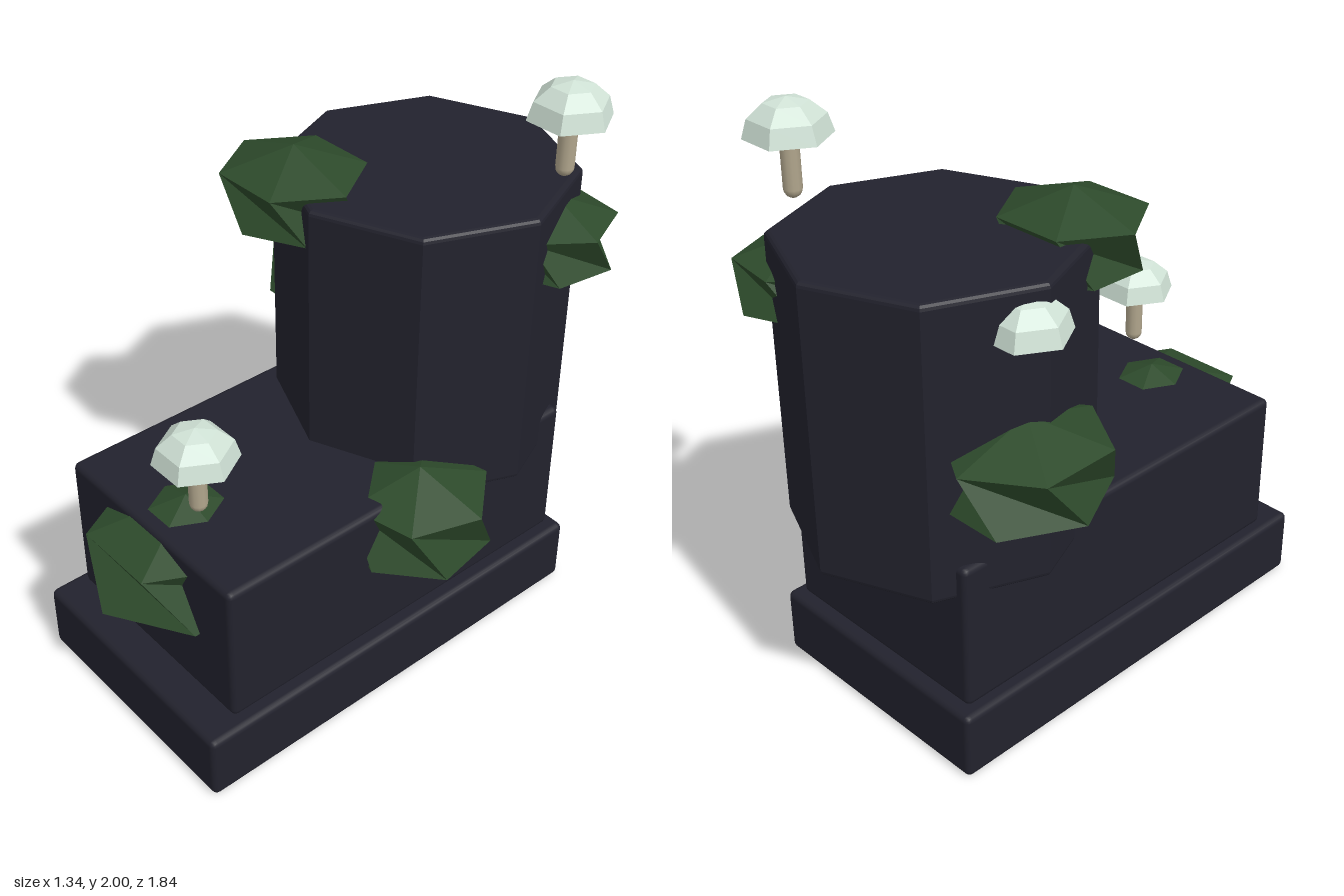
import * as THREE from 'three';
import { RoundedBoxGeometry } from 'three/addons/geometries/RoundedBoxGeometry.js';

const material = (name, color, extra = {}) => {
  const m = new THREE.MeshStandardMaterial({ color, ...extra });
  m.name = name;
  return m;
};

const flat = (geometry) => {
  const g = geometry.index ? geometry.toNonIndexed() : geometry;
  g.computeVertexNormals();
  return g;
};

// Twisted six-sided lump: two poles and two rings, the lower ring turned
function mossGeometry(radiusX, radiusZ, height, phase, lowerScale) {
  const ring = (y, turn, s) => Array.from({ length: 6 }, (_, i) => {
    const a = i * Math.PI / 3 + turn;
    return [Math.cos(a) * radiusX * s, y, Math.sin(a) * radiusZ * s];
  });
  const upper = ring(height * 0.25, phase, 1);
  const lower = ring(-height * 0.25, phase - 0.5, lowerScale);
  const top = [0, height / 2, 0], bottom = [0, -height / 2, 0];
  const points = [];
  for (let i = 0; i < 6; i++) {
    const j = (i + 1) % 6;
    points.push(top, upper[j], upper[i]);
    points.push(upper[j], lower[j], lower[i], upper[j], lower[i], upper[i]);
    points.push(bottom, lower[i], lower[j]);
  }
  const g = new THREE.BufferGeometry();
  g.setAttribute('position', new THREE.Float32BufferAttribute(points.flat(), 3));
  return flat(g);
}

export function createModel() {
  const model = new THREE.Group();
  const stone = material('dark stone', 0x22222d);
  const moss = material('moss green', 0x2d4a2b);
  const capPale = material('pale cap', 0xd0e2d6, { side: THREE.DoubleSide });
  const stemTan = material('tan stem', 0xb0a58c);

  const add = (parent, name, geometry, mat, x, y, z) => {
    const mesh = new THREE.Mesh(geometry, mat);
    mesh.name = name;
    mesh.position.set(x, y, z);
    parent.add(mesh);
    return mesh;
  };

  // Stepped stone blocks
  add(model, 'baseSlab', new RoundedBoxGeometry(0.92, 0.24, 1.6, 2, 0.022), stone, 0.02, 0.123, 0.07);
  add(model, 'middleBlock', new RoundedBoxGeometry(0.838, 0.52, 1.44, 2, 0.022), stone, 0.017, 0.505, 0.03);

  // Octagonal pillar with bevelled rims
  const bevel = 0.018;
  const octagon = new THREE.Shape(Array.from({ length: 8 }, (_, i) => {
    const a = i * Math.PI / 4;
    return new THREE.Vector2(Math.cos(a) * 0.475, Math.sin(a) * 0.475);
  }));
  const pillar = new THREE.ExtrudeGeometry(octagon, {
    depth: 0.995 - 2 * bevel, bevelEnabled: true, bevelSize: bevel, bevelThickness: bevel, bevelSegments: 3,
  });
  pillar.rotateX(-Math.PI / 2);
  add(model, 'pillar', pillar, stone, 0.016, 0.645 + bevel, -0.412);

  // Moss clumps: name, centre, radii, height, phase, lower ring scale
  const clumps = [
    ['mossTopFront', [-0.2, 1.575, -0.04], 0.25, 0.23, 0.33, 0, 0.9],
    ['mossTopLeft', [0.37, 1.445, -0.63], 0.21, 0.21, 0.29, 0.12, 1],
    ['mossRight', [-0.43, 1.045, -0.46], 0.25, 0.28, 0.35, 0.5, 1],
    ['mossLeft', [0.42, 0.647, -0.04], 0.24, 0.245, 0.375, -0.2, 1],
    ['mossFront', [0.01, 0.597, 0.59], 0.3, 0.33, 0.415, 0, 1.03],
  ];
  for (const [name, at, rx, rz, h, phase, scale] of clumps) {
    add(model, name, mossGeometry(rx, rz, h, phase, scale), moss, ...at);
  }

  // Mushrooms: hollow faceted cap on a rounded stem
  const capGeometry = flat(new THREE.SphereGeometry(0.138, 6, 3, 0, Math.PI * 2, 0, Math.PI / 2).scale(1, 0.87, 1));
  const stemGeometry = new THREE.CapsuleGeometry(0.03, 0.14, 4, 12);
  const spots = [[0.415, 1.88, -0.61], [0.137, 1.042, 0.63], [-0.425, 1.48, -0.45]];
  spots.forEach((at, i) => {
    const mushroom = new THREE.Group();
    mushroom.name = `mushroom${i + 1}`;
    mushroom.position.set(...at);
    add(mushroom, 'mushroomCap', capGeometry, capPale, 0, 0, 0);
    add(mushroom, 'mushroomStem', stemGeometry, stemTan, 0, -0.096, 0);
    model.add(mushroom);
  });

  return model;
}
